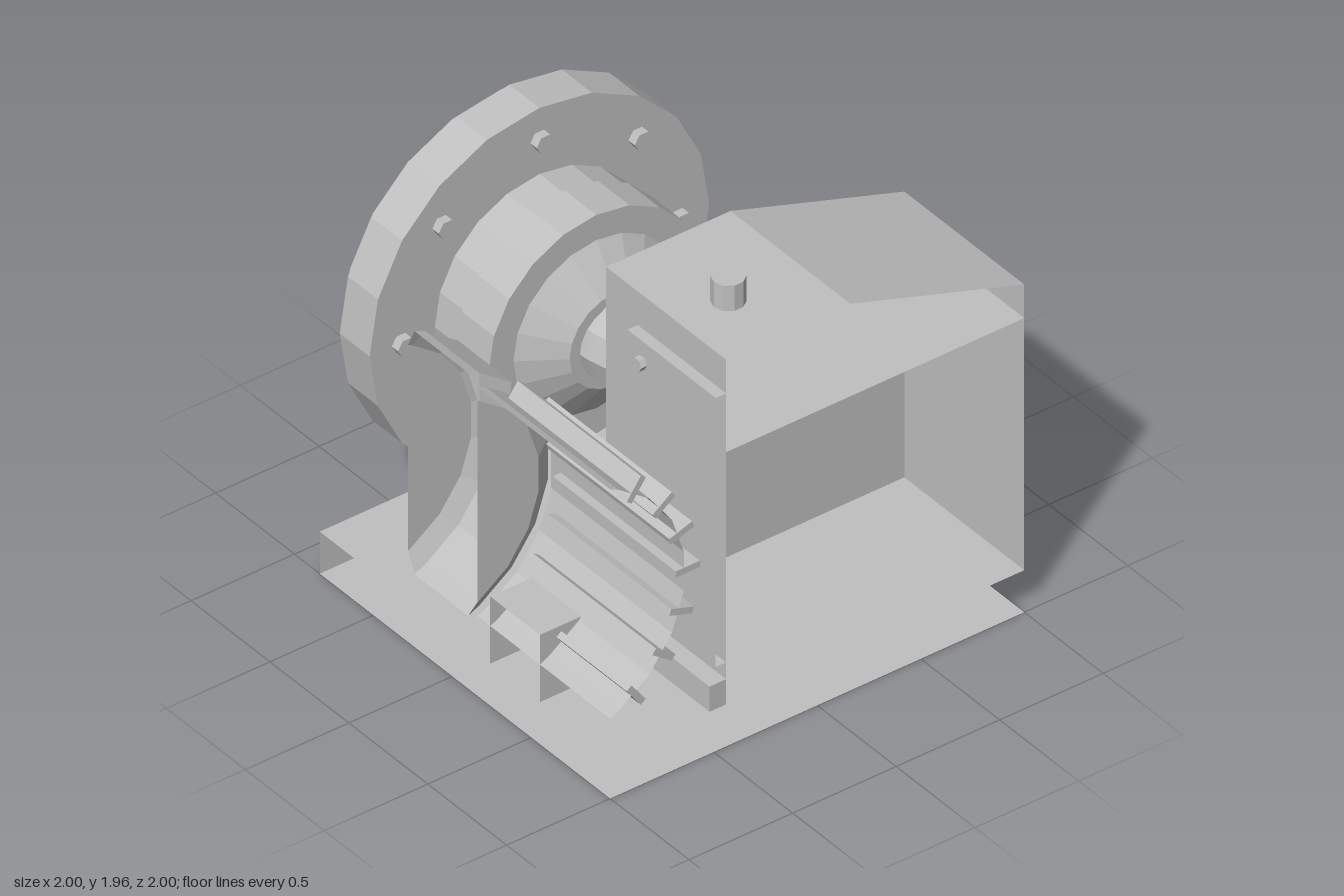
import * as THREE from 'three';

const steel = new THREE.MeshStandardMaterial({ color: 0xc0c0c0, flatShading: true, side: THREE.DoubleSide });
steel.name = 'steel grey';

// Open skin through matching cross-sections; capped lists the sections to close
function loft(sections, capped = []) {
  const pos = [];
  const tri = (...p) => p.forEach((v) => pos.push(...v));
  for (let i = 0; i + 1 < sections.length; i++) {
    const a = sections[i], b = sections[i + 1];
    for (let j = 0; j + 1 < a.length; j++) {
      tri(a[j], b[j], b[j + 1]);
      tri(a[j], b[j + 1], a[j + 1]);
    }
  }
  for (const k of capped) {
    const s = sections[k];
    for (let j = 1; j + 1 < s.length; j++) tri(s[0], s[j], s[j + 1]);
  }
  const geo = new THREE.BufferGeometry();
  geo.setAttribute('position', new THREE.Float32BufferAttribute(pos, 3));
  geo.computeVertexNormals();
  return geo;
}

// Profile of [z, y] pairs swept along x
const sweepX = (profile, x0, x1, capped) =>
  loft([x0, x1].map((x) => profile.map(([z, y]) => [x, y, z])), capped);
// Profile of [x, y] pairs swept along z
const sweepZ = (profile, z0, z1, capped) =>
  loft([z0, z1].map((z) => profile.map(([x, y]) => [x, y, z])), capped);

export function createModel() {
  const model = new THREE.Group();
  model.name = 'pumpUnit';

  function add(name, geo, x = 0, y = 0, z = 0) {
    const mesh = new THREE.Mesh(geo, steel);
    mesh.name = name;
    mesh.position.set(x, y, z);
    model.add(mesh);
    return mesh;
  }
  function box(name, x0, x1, y0, y1, z0, z1) {
    return add(name, new THREE.BoxGeometry(x1 - x0, y1 - y0, z1 - z0),
      (x0 + x1) / 2, (y0 + y1) / 2, (z0 + z1) / 2);
  }
  // Cylinder lying along x
  function rodX(name, r, x0, x1, y, z, sides) {
    return add(name, new THREE.CylinderGeometry(r, r, x1 - x0, sides).rotateZ(-Math.PI / 2), (x0 + x1) / 2, y, z);
  }

  // Base tray, open at the front, back and right
  add('base', sweepZ([[1, 0], [-0.84, 0], [-0.84, 0.2], [1, 0.2]], -1, 1));

  // Gear housing with sloped roof, open on its cut side
  const side = [[0.44, 0.2], [0.44, 1.84], [-0.16, 1.84], [-1, 1.56], [-1, 0.2]];
  add('housing', sweepX(side, 0.24, 1, [0]));
  add('housingShelf', sweepX([[0.44, 1.4], [-1, 1.4]], 0.24, 1));
  box('housingSkirtFront', 0.16, 1, 0.2, 0.32, 0.44, 0.52);
  box('housingSkirtSide', 0.16, 0.24, 0.2, 0.32, -1, 0.44);
  add('breather', new THREE.CylinderGeometry(0.07, 0.07, 0.12, 10), 0.7, 1.9, 0.2);

  // Inspection cover and its bolts
  add('coverPlate', sweepX([[0.44, 0.4], [0.49, 0.4], [0.49, 1.68], [0.44, 1.68]], 0.44, 1, [0]));
  for (const y of [0.5, 1.58]) {
    add('coverBolt', new THREE.CylinderGeometry(0.03, 0.03, 0.03, 6).rotateX(Math.PI / 2).rotateZ(Math.PI / 6),
      0.535, y, 0.503);
  }

  // Round side cover with six bolts
  rodX('sideCover', 0.335, 0.12, 0.24, 1, -0.285, 20);
  for (let i = 0; i < 6; i++) {
    const a = Math.PI / 6 + i * Math.PI / 3;
    rodX('sideCoverBolt', 0.03, 0.09, 0.12, 1 + 0.25 * Math.sin(a), -0.285 + 0.25 * Math.cos(a), 6);
  }

  // Pump body: bored flange, neck and cone, turned about x
  const turned = [
    [0, -0.45], [0.4, -0.45], [0.4, -1], [0.77, -1], [0.77, -0.95], [0.82, -0.95], [0.82, -0.76],
    [0.505, -0.76], [0.505, -0.6], [0.52, -0.6], [0.52, -0.4], [0.4, -0.4], [0.22, -0.28], [0.17, -0.28],
  ].map(([r, x]) => new THREE.Vector2(r, x));
  add('pumpBody', new THREE.LatheGeometry(turned, 20).rotateZ(-Math.PI / 2), 0, 1, 0);
  for (let i = 0; i < 8; i++) {
    const a = i * Math.PI / 4;
    rodX('flangeBolt', 0.043, -0.76, -0.72, 1 + 0.67 * Math.sin(a), 0.67 * Math.cos(a), 6);
  }

  // Elbow pipe from the pump towards the back
  const path = new THREE.CurvePath();
  const v = (x, z) => new THREE.Vector3(x, 1, z);
  path.add(new THREE.LineCurve3(v(-0.3, -0.01), v(-0.28, -0.01)));
  const arc = [];
  for (let i = 0; i <= 6; i++) {
    const a = i * Math.PI / 12;
    arc.push(v(-0.28 + 0.2 * Math.sin(a), -0.21 + 0.2 * Math.cos(a)));
  }
  for (let i = 0; i < 6; i++) path.add(new THREE.LineCurve3(arc[i], arc[i + 1]));
  path.add(new THREE.LineCurve3(arc[6], v(-0.08, -0.66)));
  add('elbowPipe', new THREE.TubeGeometry(path, 30, 0.18, 10));

  // Wide pipe sleeve, open at the back
  add('pipeSleeve', new THREE.CylinderGeometry(0.26, 0.26, 0.36, 14, 1, true).rotateX(Math.PI / 2), -0.083, 1, -0.82);
  add('pipeSleeveEnd', new THREE.RingGeometry(0.17, 0.26, 14), -0.083, 1, -0.64);

  // Motor and coupling share an axis in front of the cut plane z = 1
  const axisY = 0.925, axisZ = 1.229;
  function cutRing(x, r) {
    const end = Math.acos((axisZ - 1) / r);
    const steps = [-63, -45, -27, -9, 9, 27, 45, 63].map((d) => d * Math.PI / 180);
    return [-end, ...steps, end].map((a) => [x, axisY + r * Math.sin(a), axisZ - r * Math.cos(a)]);
  }
  add('coupling', loft([cutRing(-0.28, 0.54), cutRing(-0.24, 0.622), cutRing(0.1, 0.622), cutRing(0.16, 0.53)], [0, 3]));
  add('motorShell', loft([cutRing(0.16, 0.592), cutRing(1, 0.592)]));
  // Cooling fins
  for (let i = -3; i <= 3; i++) {
    const a = i * Math.PI / 10;
    const fin = box('coolingFin', 0.22, 1, -0.015, 0.015, -0.058, 0.058);
    fin.position.set(0.61, axisY + 0.604 * Math.sin(a), axisZ - 0.604 * Math.cos(a));
    fin.rotation.x = a;
  }
  // Motor foot, open at the front
  add('motorFoot', sweepZ([[0.24, 0.2], [0.24, 0.52], [0.555, 0.52], [0.555, 0.2]], 0.72, 1, [0]));

  return model;
}
